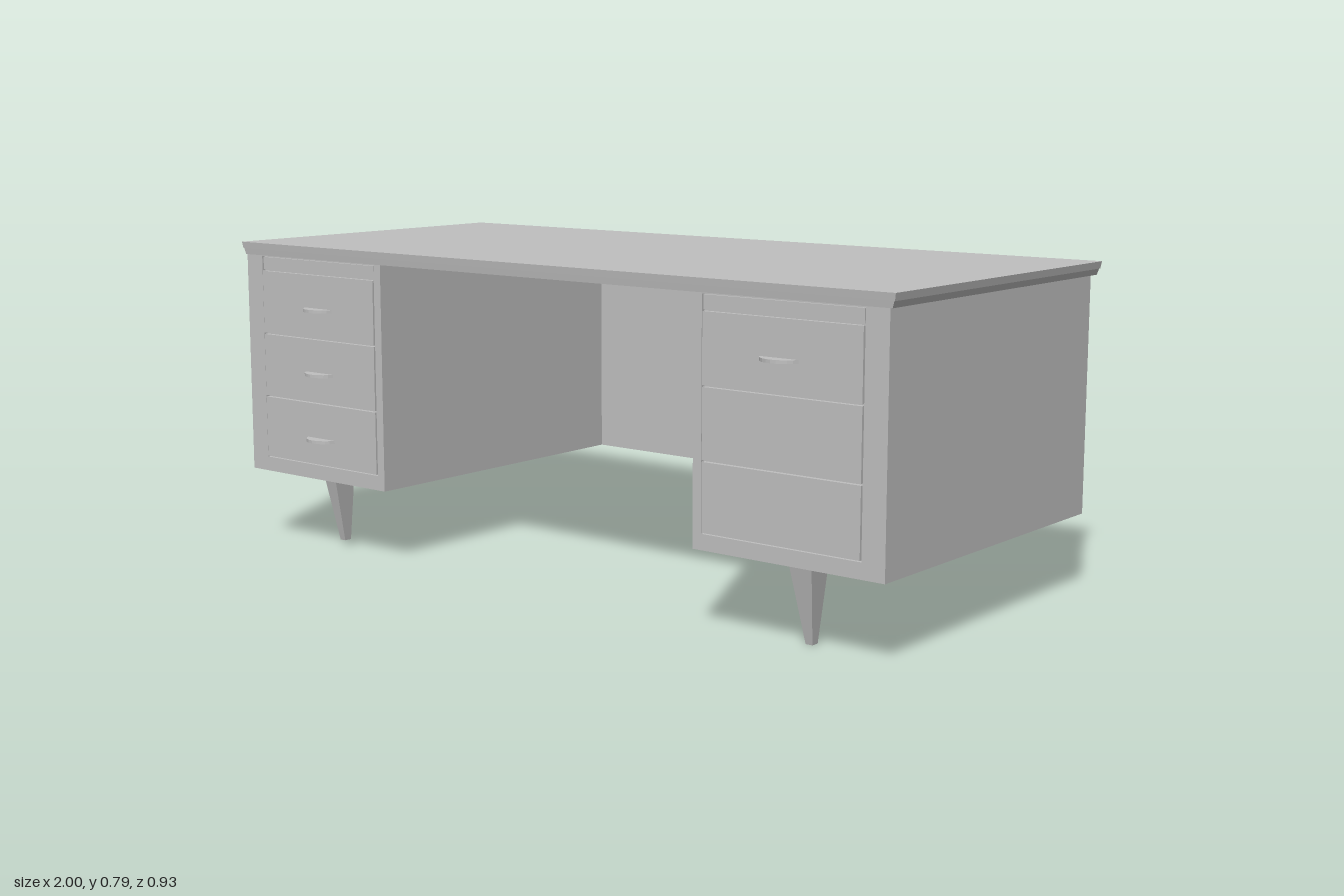
import * as THREE from 'three';

const grey = new THREE.MeshStandardMaterial({ color: 0xc0c0c0 });
grey.name = 'grey';

// Box given by its lower and upper corners
function box(name, x0, x1, y0, y1, z0, z1) {
  const mesh = new THREE.Mesh(new THREE.BoxGeometry(x1 - x0, y1 - y0, z1 - z0), grey);
  mesh.position.set((x0 + x1) / 2, (y0 + y1) / 2, (z0 + z1) / 2);
  mesh.name = name;
  return mesh;
}

// Box whose bottom rectangle [x0, x1, z0, z1] differs from its top one
function taperedBox(name, bottom, top, y0, y1) {
  const g = new THREE.BoxGeometry(1, 1, 1).toNonIndexed();
  const p = g.attributes.position;
  for (let i = 0; i < p.count; i++) {
    const up = p.getY(i) > 0;
    const r = up ? top : bottom;
    p.setXYZ(i, p.getX(i) > 0 ? r[1] : r[0], up ? y1 : y0, p.getZ(i) > 0 ? r[3] : r[2]);
  }
  g.computeVertexNormals();
  const mesh = new THREE.Mesh(g, grey);
  mesh.name = name;
  return mesh;
}

function rectangle(Type, x0, x1, y0, y1) {
  return new Type([[x0, y0], [x1, y0], [x1, y1], [x0, y1]].map(([x, y]) => new THREE.Vector2(x, y)));
}

// Shallow curved drawer pull that projects forward
function pull(x, y) {
  const s = new THREE.Shape();
  s.moveTo(-0.05, 0);
  s.quadraticCurveTo(-0.035, -0.03, 0, -0.032);
  s.quadraticCurveTo(0.035, -0.03, 0.05, 0);
  const g = new THREE.ExtrudeGeometry(s, { depth: 0.008, bevelEnabled: false, curveSegments: 5 });
  g.rotateX(-Math.PI / 2);
  const mesh = new THREE.Mesh(g, grey);
  mesh.position.set(x, y - 0.004, 0.432);
  mesh.name = 'drawerPull';
  return mesh;
}

export function createModel() {
  const desk = new THREE.Group();
  desk.name = 'desk';

  // Desktop: slab above a narrower lower lip
  desk.add(taperedBox('desktop', [-0.997, 0.997, -0.463, 0.433], [-1, 1, -0.465, 0.435], 0.773, 0.79));
  desk.add(taperedBox('desktopLip', [-0.99, 0.99, -0.46, 0.43], [-0.995, 0.995, -0.462, 0.432], 0.758, 0.773));

  // Full-height back panel
  desk.add(box('backPanel', -0.985, 0.985, 0.19, 0.76, -0.44, -0.41));

  const drawers = [[0.23, 0.388], [0.392, 0.553], [0.557, 0.718], [0.722, 0.754]];
  for (const side of [-1, 1]) {
    const pedestal = new THREE.Group();
    pedestal.name = side < 0 ? 'rightPedestal' : 'leftPedestal';
    const span = (a, b) => (side < 0 ? [-b, -a] : [a, b]);

    // Carcass and face frame with one opening
    pedestal.add(box('carcass', ...span(0.487, 0.985), 0.19, 0.76, -0.41, 0.42));
    const face = rectangle(THREE.Shape, ...span(0.487, 0.985), 0.19, 0.76);
    face.holes.push(rectangle(THREE.Path, ...span(0.51, 0.927), 0.227, 0.756));
    const frame = new THREE.Mesh(
      new THREE.ExtrudeGeometry(face, { depth: 0.01, bevelEnabled: false }), grey);
    frame.position.z = 0.42;
    frame.name = 'faceFrame';
    pedestal.add(frame);

    // Three drawers below a pull-out writing slide
    drawers.forEach(([y0, y1], i) => {
      pedestal.add(box(i < 3 ? 'drawerFront' : 'writingSlide', ...span(0.513, 0.924), y0, y1, 0.42, i < 3 ? 0.432 : 0.428));
    });
    const pullHeights = side < 0 ? [0.295, 0.465, 0.63] : [0.63];
    for (const y of pullHeights) pedestal.add(pull(side * 0.715, y));

    // Tapered front leg under a mounting plate
    const x = side < 0 ? -0.735 : 0.745;
    const w = side < 0 ? 0.02 : 0.03;
    pedestal.add(taperedBox('frontLeg', [x - 0.01, x + 0.008, 0.328, 0.348],
      [x - w, x + w, 0.322, 0.388], side < 0 ? 0.015 : 0, 0.186));
    pedestal.add(box('frontLegPlate', x - 0.04, x + 0.04, 0.184, 0.192, 0.305, 0.39));
    desk.add(pedestal);
  }

  // Mounting plate at the back
  desk.add(box('backLegPlate', -0.775, -0.695, 0.184, 0.192, -0.39, -0.31));
  return desk;
}
